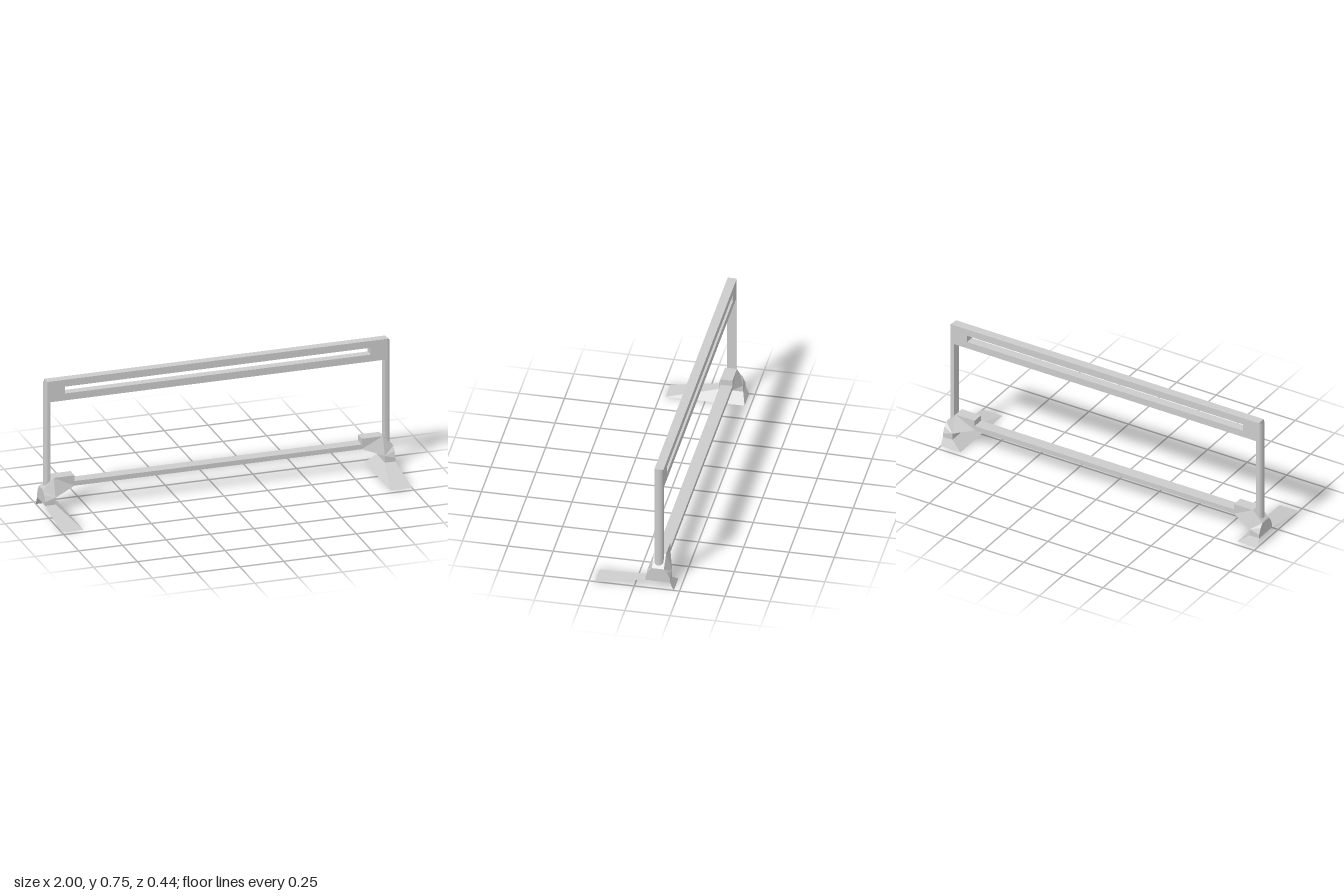
import * as THREE from 'three';

const CZ = -0.13; // centre plane of the frame
const mat = new THREE.MeshStandardMaterial({ color: 0xcccccc, side: THREE.DoubleSide });
const flat = new THREE.MeshStandardMaterial({ color: 0xcccccc, side: THREE.DoubleSide, flatShading: true });

function add(parent, name, geometry, material = mat) {
  const mesh = new THREE.Mesh(geometry, material);
  mesh.name = name;
  parent.add(mesh);
  return mesh;
}

// Flat-faced geometry from a list of polygons, each a list of [x, y, z]
function faceted(polygons) {
  const pos = [];
  for (const p of polygons)
    for (let i = 1; i < p.length - 1; i++) pos.push(...p[0], ...p[i], ...p[i + 1]);
  const g = new THREE.BufferGeometry();
  g.setAttribute('position', new THREE.Float32BufferAttribute(pos, 3));
  g.computeVertexNormals();
  return g;
}

// Upright with a rounded outer side and a clipped top corner
function postGeometry() {
  const s = new THREE.Shape();
  s.moveTo(0.955, -0.025);
  s.lineTo(0.97, -0.025);
  s.absellipse(0.97, 0, 0.018, 0.025, -Math.PI / 2, Math.PI / 2, false);
  s.lineTo(0.955, 0.025);
  s.closePath();
  const g = new THREE.ExtrudeGeometry(s, { depth: 1, steps: 2, bevelEnabled: false, curveSegments: 6 });
  g.rotateX(-Math.PI / 2);
  const p = g.attributes.position;
  for (let i = 0; i < p.count; i++) {
    const t = p.getY(i);
    if (t > 0.9) p.setX(i, Math.min(p.getX(i), 0.973));
    p.setY(i, t < 0.1 ? 0.12 : t < 0.9 ? 0.735 : 0.75);
  }
  g.translate(0, 0, CZ);
  return g;
}

// Corner bracket: outline of [x, y, half width], widening towards the foot
function bracketGeometry() {
  const o = [
    [0.82, 0.19, 0.033], [0.82, 0.13, 0.033], [0.94, 0.087, 0.067], [0.94, 0.048, 0.067],
    [1, 0.048, 0.067], [1, 0.07, 0.067], [1, 0.105, 0.052], [1, 0.128, 0.033], [0.94, 0.19, 0.033],
  ];
  const f = o.map(([x, y, w]) => [x, y, CZ + w]);
  const b = o.map(([x, y, w]) => [x, y, CZ - w]);
  const polys = [];
  o.forEach((_, i) => {
    const j = (i + 1) % o.length;
    polys.push([f[j], f[i], b[i], b[j]]);
  });
  for (const [i, j, k] of [[8, 0, 1], [8, 1, 2], [8, 2, 7], [7, 2, 6], [6, 2, 5], [5, 2, 3], [5, 3, 4]])
    polys.push([f[i], f[j], f[k]], [b[k], b[j], b[i]]);
  return faceted(polys);
}

// Foot: front, back and inner flaps, open on the outside and below
function footGeometry() {
  const y = 0.048, zf = CZ + 0.067, zb = CZ - 0.067, l = 0.218;
  const inF = [0.94, y, zf], outF = [1, y, zf], inB = [0.94, y, zb], outB = [1, y, zb];
  const gInF = [0.877, 0, l], gOutF = [1, 0, l], gInB = [0.877, 0, -l], gOutB = [1, 0, -l];
  return faceted([
    [gInF, gOutF, outF, inF],
    [gOutB, gInB, inB, outB],
    [gInB, gInF, inF, inB],
  ]);
}

function rect(path, x, y0, y1) {
  path.moveTo(-x, y0);
  path.lineTo(x, y0);
  path.lineTo(x, y1);
  path.lineTo(-x, y1);
  path.closePath();
  return path;
}

export function createModel() {
  const model = new THREE.Group();
  model.name = 'barrierFrame';

  // Slotted top panel
  const panel = rect(new THREE.Shape(), 0.97, 0.63, 0.75);
  panel.holes.push(rect(new THREE.Path(), 0.873, 0.67, 0.71));
  const panelGeo = new THREE.ExtrudeGeometry(panel, { depth: 0.05, bevelEnabled: false });
  panelGeo.translate(0, 0, CZ - 0.025);
  add(model, 'topPanel', panelGeo);

  // Low cross bar
  add(model, 'lowerBar', new THREE.BoxGeometry(1.66, 0.027, 0.066)).position.set(0, 0.143, CZ);

  // Mirrored ends
  const parts = { post: postGeometry(), bracket: bracketGeometry(), foot: footGeometry() };
  for (const side of [1, -1]) {
    const end = new THREE.Group();
    end.name = side > 0 ? 'leftEnd' : 'rightEnd';
    end.scale.x = side;
    for (const [name, geo] of Object.entries(parts)) add(end, name, geo, name === 'post' ? mat : flat);
    model.add(end);
  }
  return model;
}
